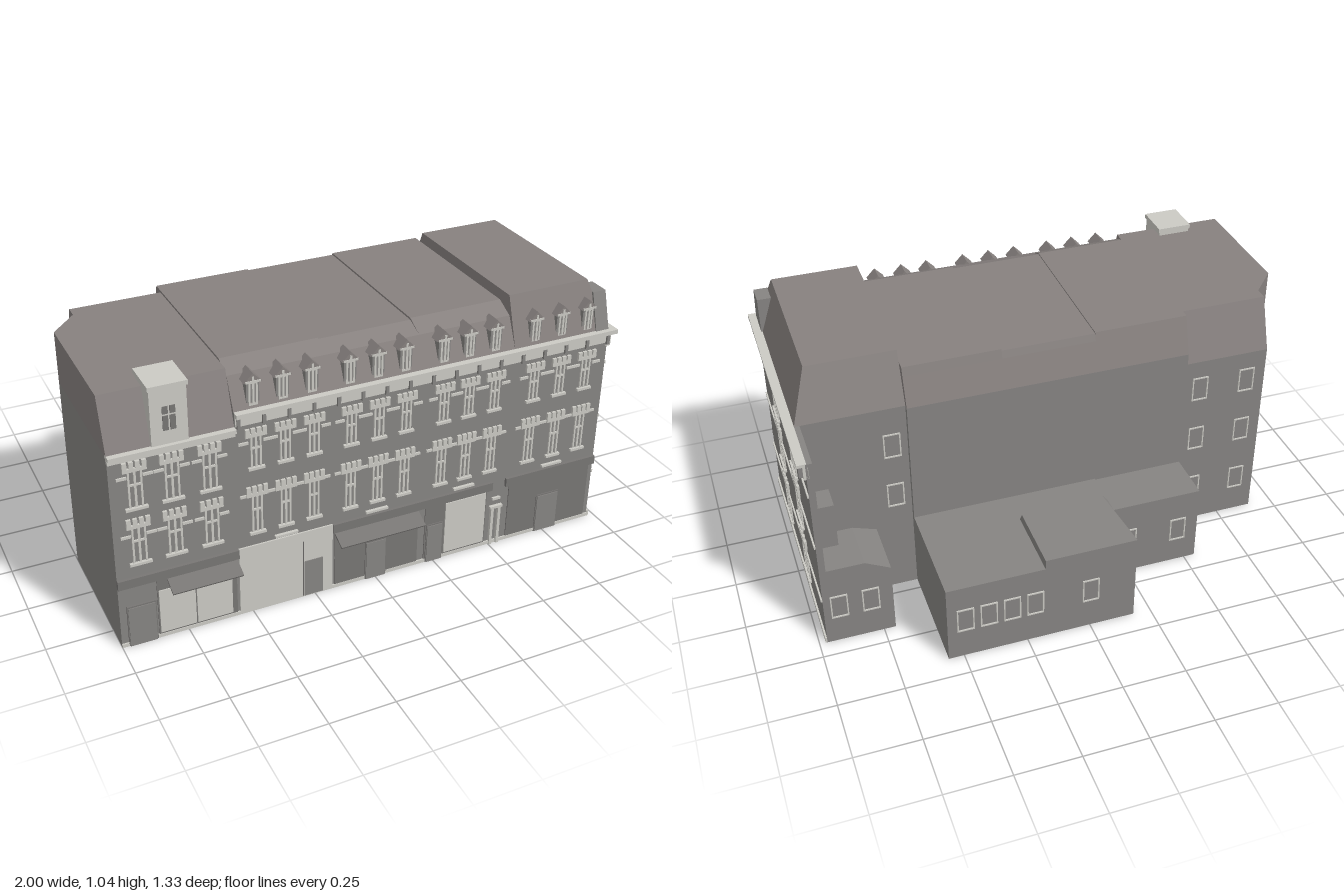
import * as THREE from 'three';
import { mergeGeometries } from 'three/addons/utils/BufferGeometryUtils.js';

const material = (name, hex) => {
  const m = new THREE.MeshStandardMaterial({ color: hex });
  m.name = name;
  return m;
};

// Solid from plan rings: each entry is [height, [[x, z], ...]]
function loft(rings) {
  const flip = THREE.ShapeUtils.area(rings[0][1].map(p => new THREE.Vector2(...p))) < 0;
  const loops = rings.map(([y, pts]) => {
    const r = pts.map(([x, z]) => new THREE.Vector3(x, y, z));
    return flip ? r.reverse() : r;
  });
  const v = [];
  const tri = (...ps) => ps.forEach(p => v.push(p.x, p.y, p.z));
  for (let k = 0; k < loops.length - 1; k++) {
    const a = loops[k], b = loops[k + 1];
    a.forEach((p, i) => {
      const j = (i + 1) % a.length;
      tri(p, b[i], a[j]);
      tri(a[j], b[i], b[j]);
    });
  }
  const cap = (r, up) => THREE.ShapeUtils.triangulateShape(r.map(p => new THREE.Vector2(p.x, p.z)), [])
    .forEach(([i, j, k]) => (up ? tri(r[i], r[k], r[j]) : tri(r[i], r[j], r[k])));
  cap(loops[0], false);
  cap(loops[loops.length - 1], true);
  const g = new THREE.BufferGeometry();
  g.setAttribute('position', new THREE.Float32BufferAttribute(v, 3));
  g.computeVertexNormals();
  return g;
}
const rect = (x0, x1, z0, z1) => [[x0, z0], [x1, z0], [x1, z1], [x0, z1]];
// Box from its limits
const slab = (x0, x1, y0, y1, z0, z1) =>
  new THREE.BoxGeometry(x1 - x0, y1 - y0, z1 - z0).translate((x0 + x1) / 2, (y0 + y1) / 2, (z0 + z1) / 2);

// Sash window trim: jambs, mullions, transom, sill and a toothed lintel; origin at the sill
function windowTrim(w, h, sill, lintel, bar) {
  const d = 0.006, top = h * 0.8;
  const parts = [
    slab(-sill / 2, sill / 2, 0, 0.01, 0, 0.012),
    slab(-w / 2, w / 2, top * 0.62, top * 0.62 + bar, 0, d),
    slab(-lintel / 2, lintel / 2, top, top + 0.013, 0, 0.01),
    slab(-bar * 0.6, bar * 0.6, 0, top, 0, d),
  ];
  for (const s of [-1, 1]) parts.push(slab(s * w / 2 - bar / 2, s * w / 2 + bar / 2, 0, top, 0, d));
  for (let i = 0; i < 4; i++) {
    const x = (i / 3 - 0.5) * (lintel - 0.016);
    parts.push(slab(x - 0.008, x + 0.008, top + 0.01, h, 0, 0.01));
  }
  return mergeGeometries(parts);
}

function frameTrim(w, h, t) {
  return mergeGeometries([
    slab(-w / 2, w / 2, -h / 2, -h / 2 + t, 0, 0.005), slab(-w / 2, w / 2, h / 2 - t, h / 2, 0, 0.005),
    slab(-w / 2, -w / 2 + t, -h / 2, h / 2, 0, 0.005), slab(w / 2 - t, w / 2, -h / 2, h / 2, 0, 0.005),
  ]);
}

export function createModel() {
  const model = new THREE.Group();
  model.name = 'terraceBuilding';
  const wall = material('wall grey', 0x868482);
  const roof = material('roof grey', 0x87817f);
  const trim = material('pale stone', 0xcbcac4);
  const shop = material('shopfront grey', 0x787674);
  const add = (name, geo, mat, x = 0, y = 0, z = 0, ry = 0) => {
    const m = new THREE.Mesh(geo, mat);
    m.name = name;
    m.position.set(x, y, z);
    m.rotation.y = ry;
    model.add(m);
    return m;
  };
  const box = (name, mat, ...b) => add(name, slab(...b), mat);

  // Left house with chamfered rear corner
  const plan = (front, back) => [[-1, front], [-0.55, front], [-0.55, back], [-0.9, back], [-0.9, -0.08], [-1, 0.03]];
  add('leftWalls', loft([[0, plan(0.6, -0.2)], [0.785, plan(0.6, -0.2)]]), wall);
  add('leftRoof', loft([[0.785, plan(0.6, -0.2)], [0.985, plan(0.53, -0.13)]]), roof);

  // Three middle houses under a double-pitched mansard
  box('middleWalls', wall, -0.55, 0.56, 0, 0.845, -0.22, 0.6);
  [[-0.55, -0.18, 0.993], [-0.18, 0.185, 0.988], [0.185, 0.56, 0.995]].forEach(([a, b, top]) =>
    add('middleRoof', loft([[0.845, rect(a, b, -0.22, 0.595)], [0.96, rect(a, b, -0.185, 0.54)],
      [top, rect(a, b, -0.175, 0.47)]]), roof));

  // Right house, hipped towards the side street
  box('rightWalls', wall, 0.56, 0.97, 0, 0.845, -0.2, 0.6);
  add('rightRoof', loft([[0.845, rect(0.56, 0.965, -0.2, 0.595)], [1.037, rect(0.56, 0.9, -0.12, 0.53)]]), roof);
  add('cornerPier', loft([[0.845, rect(0.915, 0.97, 0.47, 0.6)], [0.99, rect(0.915, 0.97, 0.47, 0.555)]]), wall);

  // Rear extensions
  box('sideParapet', wall, 0.945, 0.97, 0, 0.845, -0.43, -0.2);
  box('longExtension', wall, -0.18, 0.56, 0, 0.335, -0.66, -0.22);
  add('raisedRoof', loft([[0.335, rect(-0.18, 0.18, -0.66, -0.36)],
    [0.375, [[-0.18, -0.66], [0.18, -0.66], [0.18, -0.385], [-0.15, -0.37]]]]), wall);
  box('shortExtension', wall, -0.545, -0.18, 0, 0.33, -0.42, -0.22);
  box('rearAnnex', wall, 0.705, 0.95, 0, 0.3, -0.43, -0.2);
  add('annexRoof', loft([[0.3, rect(0.705, 0.95, -0.43, -0.2)], [0.35, rect(0.8, 0.95, -0.43, -0.22)]]), wall);
  box('annexStack', wall, 0.87, 0.95, 0.3, 0.54, -0.3, -0.2);

  // Cornices and brackets
  box('leftCornice', trim, -1, -0.55, 0.76, 0.783, 0.59, 0.608);
  box('leftCorniceCap', trim, -1, -0.55, 0.778, 0.792, 0.58, 0.62);
  box('frontFrieze', trim, -0.55, 0.98, 0.795, 0.835, 0.59, 0.608);
  box('frontCorniceCap', trim, -0.55, 1, 0.83, 0.847, 0.585, 0.62);
  box('sideFrieze', trim, 0.96, 0.98, 0.78, 0.835, -0.43, 0.608);
  box('sideCorniceCap', trim, 0.965, 1, 0.835, 0.847, -0.43, 0.615);
  for (let x = -0.54; x < 0.98; x += 0.094) box('frontBracket', wall, x - 0.006, x + 0.006, 0.79, 0.832, 0.6, 0.616);
  for (const z of [0.56, 0.335, -0.165, -0.42]) box('sideBracket', wall, 0.97, 0.995, 0.79, 0.836, z - 0.006, z + 0.006);

  // Front windows with short string courses between them
  const leftXs = [-0.91, -0.78, -0.645];
  const groups = [[-0.475, -0.365, -0.255], [-0.11, 0, 0.11], [0.265, 0.37, 0.48], [0.65, 0.765, 0.88]];
  const leftTrim = windowTrim(0.045, 0.19, 0.08, 0.085, 0.007);
  const frontTrim = windowTrim(0.034, 0.2, 0.062, 0.08, 0.007);
  const lowerTrim = windowTrim(0.034, 0.165, 0.062, 0.08, 0.007);
  const course = (xs, ys) => xs.forEach(x => ys.forEach(y => [-1, 1].forEach(s =>
    box('stringCourse', trim, x + s * 0.046 - 0.018, x + s * 0.046 + 0.018, y, y + 0.01, 0.6, 0.606))));
  for (const x of leftXs) {
    add('frontWindow', leftTrim, trim, x, 0.34, 0.6);
    add('frontWindow', leftTrim, trim, x, 0.565, 0.6);
  }
  course(leftXs, [0.455, 0.69]);
  for (const xs of groups) {
    for (const x of xs) {
      add('frontWindow', frontTrim, trim, x, 0.34, 0.6);
      add('frontWindow', lowerTrim, trim, x, 0.61, 0.6);
    }
    course(xs, [0.5, 0.715]);
    box('balconyLedge', trim, xs[1] - 0.045, xs[1] + 0.045, 0.3, 0.309, 0.6, 0.612);
  }

  // Roof dormers
  const hood = new THREE.Shape([[-0.034, 0], [0.034, 0], [0, 0.035]].map(p => new THREE.Vector2(...p)));
  const hoodGeo = new THREE.ExtrudeGeometry(hood, { depth: 0.065, bevelEnabled: false });
  for (const x of groups.flat()) {
    box('dormer', wall, x - 0.024, x + 0.024, 0.85, 0.945, 0.53, 0.585);
    add('dormerHood', hoodGeo, roof, x, 0.943, 0.525);
    add('dormerFrame', frameTrim(0.034, 0.09, 0.007), trim, x, 0.9, 0.585);
    box('dormerMullion', trim, x - 0.004, x + 0.004, 0.86, 0.965, 0.586, 0.592);
    box('dormerLintel', trim, x - 0.028, x + 0.028, 0.942, 0.95, 0.586, 0.592);
  }

  // Large pale dormer on the left house
  box('towerDormer', trim, -0.845, -0.715, 0.785, 1.005, 0.465, 0.605);
  box('towerCap', trim, -0.85, -0.71, 1, 1.017, 0.46, 0.61);
  for (const sx of [-1, 1]) {
    const x = -0.78 + sx * 0.013;
    box('towerPane', shop, x - 0.01, x + 0.01, 0.845, 0.9, 0.6, 0.608);
    box('towerPane', shop, x - 0.01, x + 0.01, 0.907, 0.935, 0.6, 0.608);
  }

  // Side wall windows, string courses and plinth
  const sideTrim = windowTrim(0.09, 0.21, 0.118, 0.115, 0.009);
  for (const y of [0.07, 0.34, 0.58]) {
    for (const z of [0.27, -0.105]) add('sideWindow', sideTrim, trim, 0.97, y, z, Math.PI / 2);
  }
  for (const y of [0.206, 0.464, 0.698]) {
    for (const [a, b] of [[-0.43, -0.155], [-0.055, 0.22], [0.32, 0.6]]) {
      box('sideCourse', trim, 0.968, 0.976, y, y + 0.012, a, b);
    }
  }
  box('sidePlinth', trim, 0.968, 0.977, 0, 0.024, -0.43, 0.605);
  box('frontPlinth', trim, -1, 0.975, 0, 0.014, 0.6, 0.606);

  // Shopfronts: fascias, dark fronts, doors and pale display windows
  for (const [a, b] of [[-1, -0.55], [-0.18, 0.5], [0.56, 0.97]]) {
    box('shopFascia', shop, a, b, 0.254, 0.29, 0.595, 0.612);
  }
  for (const [a, b] of [[-0.86, -0.56], [-0.17, 0.18], [0.21, 0.48], [0.58, 0.95]]) {
    box('shopPanel', shop, a, b, 0.014, 0.25, 0.595, 0.604);
  }
  for (const [a, b] of [[-0.855, -0.72], [-0.715, -0.58], [0.297, 0.474]]) {
    box('displayWindow', trim, a, b, 0.022, a > 0 ? 0.248 : 0.205, 0.6, 0.608);
  }
  box('paleShopfront', trim, -0.55, -0.18, 0, 0.29, 0.595, 0.606);
  box('paleShopDoor', wall, -0.295, -0.22, 0.005, 0.16, 0.6, 0.609);
  box('paleShopSurround', shop, -0.3, -0.297, 0.005, 0.25, 0.6, 0.609);
  for (const [a, b] of [[-0.97, -0.87], [-0.04, 0.04], [0.22, 0.285], [0.715, 0.81]]) {
    box('doorSurround', shop, a - 0.004, b + 0.004, 0, 0.17, 0.598, 0.607);
    box('door', wall, a, b, 0, 0.164, 0.6, 0.61);
  }
  for (const x of [0.507, 0.538]) box('porchColumn', trim, x - 0.006, x + 0.006, 0, 0.17, 0.6, 0.612);
  box('porchHead', trim, 0.495, 0.55, 0.168, 0.178, 0.6, 0.614);
  box('porchCrest', trim, 0.505, 0.54, 0.205, 0.215, 0.6, 0.61);

  // Sloping awnings
  for (const [a, b] of [[-0.82, -0.555], [-0.17, 0.18]]) {
    const awning = new THREE.BoxGeometry(b - a, 0.007, 0.07);
    add('awning', awning, shop, (a + b) / 2, 0.231, 0.63).rotation.x = 0.43;
  }

  // Rear window frames: [x, y, wall z]
  const rear = [[0.62, 0.45, -0.2], [0.62, 0.68, -0.2], [0.91, 0.17, -0.43], [0.79, 0.17, -0.43],
    [-0.25, 0.16, -0.42], [-0.46, 0.16, -0.42]];
  for (const x of [0.49, 0.4, 0.31, 0.22, 0]) rear.push([x, 0.18, -0.66]);
  for (const x of [-0.62, -0.82]) for (const y of [0.17, 0.42, 0.66]) rear.push([x, y, -0.2]);
  const rearFrame = frameTrim(0.066, 0.105, 0.005);
  for (const [x, y, z] of rear) add('rearWindow', rearFrame, trim, x, y, z, Math.PI);

  return model;
}
